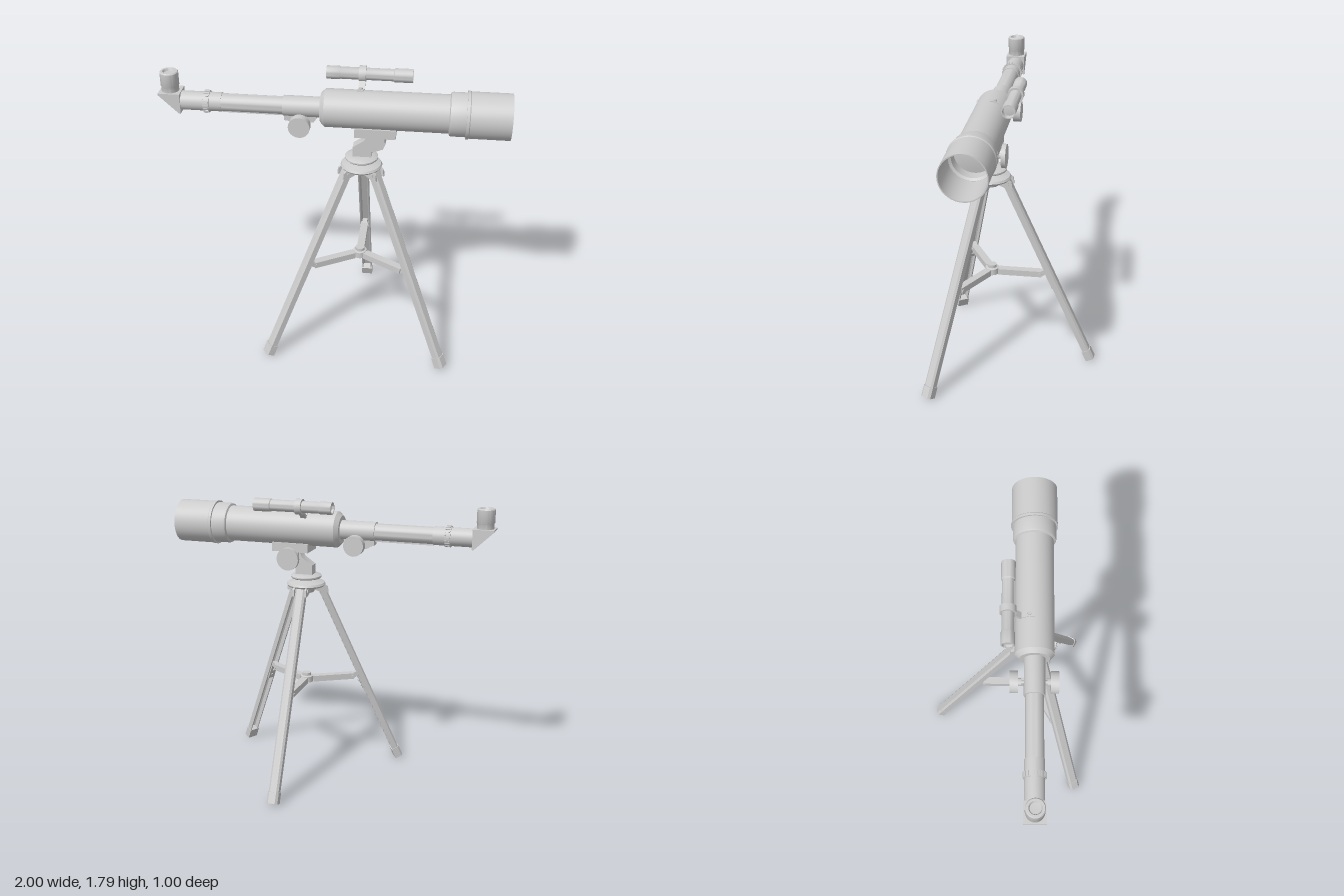
import * as THREE from 'three';
import { toCreasedNormals } from 'three/addons/utils/BufferGeometryUtils.js';

const grey = new THREE.MeshStandardMaterial({ color: 0xcccccc, side: THREE.DoubleSide });
const AXIS_Y = 1.605, AXIS_Z = 0.155, POLE_X = 0.165;

function add(parent, name, geometry, x = 0, y = 0, z = 0) {
  const mesh = new THREE.Mesh(toCreasedNormals(geometry, 0.6), grey);
  mesh.name = name;
  mesh.position.set(x, y, z);
  parent.add(mesh);
  return mesh;
}

const box = (w, h, d) => new THREE.BoxGeometry(w, h, d);
const cyl = (r, h, n = 24) => new THREE.CylinderGeometry(r, r, h, n);
const cylX = (r, h, n) => cyl(r, h, n).rotateZ(Math.PI / 2);
const cylZ = (r, h, n) => cyl(r, h, n).rotateX(Math.PI / 2);

// Profile of [radius, height] pairs turned about y, or about x
const lathe = (pts, n = 32) => new THREE.LatheGeometry(pts.map(p => new THREE.Vector2(...p)), n);
const latheX = (pts, n) => lathe(pts, n).rotateZ(-Math.PI / 2);

// Outline extruded along z, centred on z = 0
function slab(pts, depth) {
  const shape = new THREE.Shape(pts.map(p => new THREE.Vector2(...p)));
  return new THREE.ExtrudeGeometry(shape, { depth, bevelEnabled: false }).translate(0, 0, -depth / 2);
}

function buildTube() {
  const g = new THREE.Group();
  g.name = 'opticalTube';
  g.position.set(0, AXIS_Y, AXIS_Z);
  add(g, 'mainTube', latheX([[0, -0.07], [0.085, -0.07], [0.11, -0.045], [0.11, 0.66], [0, 0.66]], 40));
  // hollow dew shield with stepped collar
  add(g, 'dewShield', latheX([[0.11, 0.655], [0.122, 0.66], [0.125, 0.67], [0.125, 0.75], [0.136, 0.75], [0.136, 0.765],
    [0.132, 0.77], [0.132, 1], [0.126, 1], [0.126, 0.75], [0.112, 0.74], [0.112, 0.67]], 40));
  add(g, 'objectiveLens', latheX([[0.115, 0.67], [0.08, 0.678], [0.04, 0.683], [0, 0.685]], 40));
  add(g, 'focuserSleeve', latheX([[0.05, -0.285], [0.059, -0.285], [0.059, -0.06]]));
  add(g, 'drawTube', latheX([[0, -0.88], [0.055, -0.88], [0.055, -0.64], [0.051, -0.64], [0.051, -0.28]]));
  // ribbed locking ring
  add(g, 'lockingRing', latheX([[0.05, -0.745], [0.061, -0.745], [0.061, -0.71], [0.05, -0.71]]));
  for (let i = 0; i < 20; i++) {
    const a = i / 20 * Math.PI * 2;
    add(g, 'ringRib', box(0.028, 0.008, 0.009), -0.7275, Math.cos(a) * 0.061, Math.sin(a) * 0.061).rotation.x = a;
  }
  // rack and pinion focuser
  add(g, 'focusRack', box(0.36, 0.012, 0.022), -0.46, -0.053, 0);
  add(g, 'pinionHousing', slab([[-0.28, -0.04], [-0.28, -0.08], [-0.24, -0.085], [-0.11, -0.085], [-0.08, -0.04]], 0.06));
  add(g, 'focusAxle', cylZ(0.011, 0.24, 16), -0.18, -0.07, 0);
  for (const s of [-1, 1]) {
    add(g, 'focusKnob', cylZ(0.062, 0.046, 28), -0.18, -0.07, s * 0.113);
    add(g, 'knobCollar', cylZ(0.022, 0.02, 16), -0.18, -0.07, s * 0.082);
  }
  // diagonal prism and eyepiece
  add(g, 'diagonalPrism', slab([[-1, 0.06], [-1, 0.05], [-0.885, -0.06], [-0.875, -0.06], [-0.875, 0.06]], 0.12));
  add(g, 'eyepiece', lathe([[0.05, 0.05], [0.05, 0.09], [0.053, 0.095], [0.053, 0.172], [0.048, 0.178], [0.036, 0.178], [0.03, 0.165], [0, 0.163]]), -0.94);
  return g;
}

function buildFinder() {
  const g = new THREE.Group();
  g.name = 'finderScope';
  g.position.set(0, AXIS_Y, AXIS_Z);
  const fy = 0.152, fz = -0.148;
  add(g, 'finderTube', latheX([[0, -0.04], [0.028, -0.04], [0.03, -0.055], [0.038, -0.055], [0.038, 0.02], [0.035, 0.025], [0.035, 0.33],
    [0.04, 0.335], [0.04, 0.44], [0.034, 0.44], [0.032, 0.41], [0, 0.415]], 28), 0, fy, fz);
  add(g, 'finderRing', latheX([[0.034, 0.132], [0.047, 0.132], [0.047, 0.172], [0.034, 0.172]], 28), 0, fy, fz);
  // stem between ring and tube
  const stem = add(g, 'finderStem', box(0.036, 0.08, 0.016), 0.152, 0.098, -0.098);
  stem.rotation.x = -Math.PI / 4;
  // curved foot hugging the main tube
  const foot = new THREE.Shape();
  foot.absarc(0, 0, 0.115, Math.PI * 0.25, Math.PI * 0.5, false);
  foot.absarc(0, 0, 0.107, Math.PI * 0.5, Math.PI * 0.25, true);
  add(g, 'finderFoot', new THREE.ExtrudeGeometry(foot, { depth: 0.036, bevelEnabled: false, curveSegments: 10 }).rotateY(Math.PI / 2), 0.134);
  add(g, 'footScrew', cyl(0.011, 0.012, 12), 0.152, 0.114, -0.03);
  return g;
}

function buildMount() {
  const g = new THREE.Group();
  g.name = 'mountHead';
  g.position.z = AXIS_Z;
  add(g, 'tubeSaddle', box(0.235, 0.055, 0.15), 0.245, 1.4875, 0);
  // tilting arm on a swivel neck
  add(g, 'mountArm', slab([[0.115, 1.3], [0.225, 1.3], [0.225, 1.35], [0.29, 1.37], [0.305, 1.41], [0.29, 1.46], [0.2, 1.46], [0.18, 1.42], [0.115, 1.375]], 0.064));
  for (const s of [-1, 1]) add(g, 'pivotCheek', cylZ(0.05, 0.024, 28), 0.25, 1.42, s * 0.044);
  add(g, 'saddleBridge', box(0.1, 0.05, 0.11), 0.25, 1.455, 0);
  add(g, 'tiltScrew', cylZ(0.016, 0.14, 16), 0.25, 1.42, -0.02);
  add(g, 'tiltKnob', cylZ(0.07, 0.026, 32), 0.25, 1.42, -0.096);
  return g;
}

function buildLeg(angle) {
  const arm = new THREE.Group();
  arm.name = 'tripodLeg';
  arm.rotation.y = angle;
  // cheeks and pin clamping the leg to the hub
  for (const s of [-1, 1])
    add(arm, 'legCheek', slab([[0.04, 1.265], [0.09, 1.265], [0.13, 1.235], [0.135, 1.195], [0.1, 1.195], [0.04, 1.22]], 0.012), 0, 0, s * 0.039);
  add(arm, 'legPin', cylZ(0.012, 0.1, 12), 0.1, 1.225, 0);

  const leg = new THREE.Group();
  leg.name = 'leg';
  leg.position.set(0.085, 1.25, 0);
  leg.rotation.z = Math.atan2(0.545, 1.235);
  arm.add(leg);
  // inward-facing channel with rounded outer edges
  const half = [[-0.022, 0.032], [0.012, 0.032], [0.022, 0.02]], inner = [[0.015, 0.017], [0.009, 0.025], [-0.022, 0.025]];
  const flip = pts => pts.map(([x, z]) => [x, -z]).reverse();
  const channel = [...half, ...flip(half), ...flip(inner), ...inner];
  add(leg, 'legChannel', slab(channel, 1.3).rotateX(Math.PI / 2), 0, -0.65, 0);
  add(leg, 'footCap', slab([...half, ...flip(half)].map(([x, z]) => [x * 1.25, z * 1.1]), 0.07).rotateX(Math.PI / 2), 0, -1.308, 0);
  // clip that joins the brace to the leg
  add(leg, 'braceClip', box(0.008, 0.11, 0.046), -0.025, -0.73, 0);
  for (const y of [-0.715, -0.755]) add(leg, 'clipRivet', cylX(0.008, 0.008, 10), -0.031, y, 0);

  // folding brace: channel arm and hinge
  add(arm, 'braceArm', box(0.27, 0.008, 0.046), 0.175, 0.632, 0);
  for (const s of [-1, 1]) add(arm, 'braceFlange', box(0.27, 0.034, 0.006), 0.175, 0.615, s * 0.02);
  add(arm, 'braceHinge', slab([[0.29, 0.6], [0.31, 0.6], [0.35, 0.625], [0.345, 0.645], [0.325, 0.645], [0.29, 0.63]], 0.03));
  add(arm, 'hingePin', cylZ(0.009, 0.054, 12), 0.3, 0.616, 0);
  return arm;
}

function buildTripod() {
  const g = new THREE.Group();
  g.name = 'tripod';
  g.position.set(POLE_X, 0, AXIS_Z);
  add(g, 'hub', lathe([[0, 1.2], [0.05, 1.2], [0.065, 1.235], [0.115, 1.24], [0.122, 1.25], [0.115, 1.262], [0.07, 1.275], [0.05, 1.28], [0.05, 1.29],
    [0.09, 1.29], [0.097, 1.297], [0.097, 1.305], [0.09, 1.31], [0.055, 1.315], [0, 1.315]], 36));
  add(g, 'braceHub', lathe([[0, 0.6], [0.042, 0.6], [0.042, 0.638], [0.028, 0.642], [0.028, 0.66], [0, 0.66]], 18));
  for (const degrees of [90, 210, 330]) g.add(buildLeg(THREE.MathUtils.degToRad(degrees)));
  return g;
}

export function createModel() {
  const model = new THREE.Group();
  model.name = 'telescope';
  model.add(buildTube(), buildFinder(), buildMount(), buildTripod());
  return model;
}
